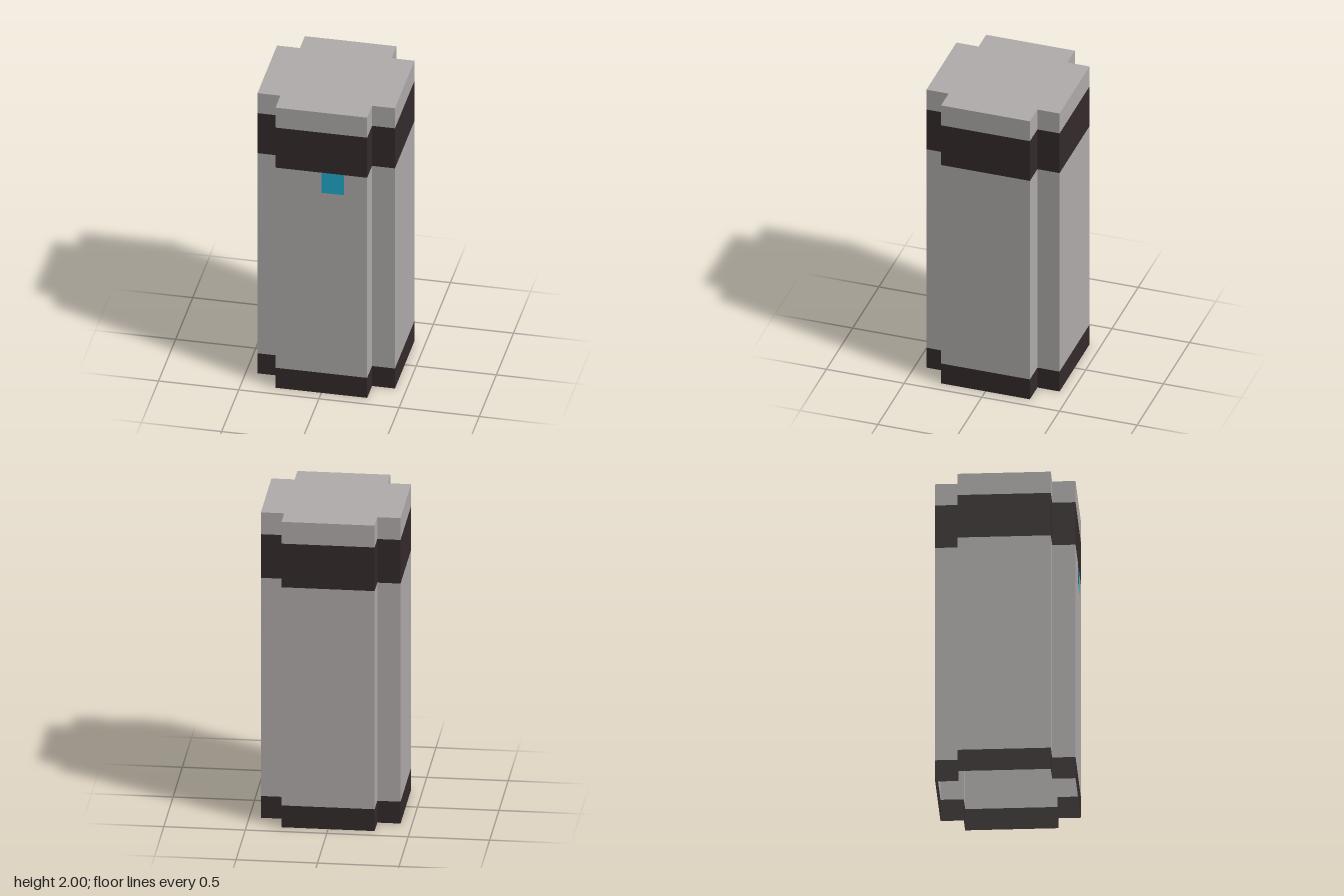
import * as THREE from 'three';

const U = 1 / 7; // one block of the design grid

// Cross-shaped plan, in blocks (x, z); the first wall is the front one
const PLAN = [
  [-2, 3], [2, 3], [2, 2], [3, 2], [3, -2], [2, -2],
  [2, -3], [-2, -3], [-2, -2], [-3, -2], [-3, 2], [-2, 2],
];

const material = (name, color) => {
  const m = new THREE.MeshStandardMaterial({ color, side: THREE.DoubleSide });
  m.name = name;
  return m;
};

// Thin walls following the plan between two heights
function wallBand(y0, y1, firstWall = 0) {
  const pos = [];
  for (let i = firstWall; i < PLAN.length; i++) {
    const [ax, az] = PLAN[i];
    const [bx, bz] = PLAN[(i + 1) % PLAN.length];
    pos.push(ax, y0, az, bx, y0, bz, bx, y1, bz);
    pos.push(ax, y0, az, bx, y1, bz, ax, y1, az);
  }
  const g = new THREE.BufferGeometry();
  g.setAttribute('position', new THREE.Float32BufferAttribute(pos, 3));
  g.scale(U, U, U);
  g.computeVertexNormals();
  return g;
}

const points = (list) => list.map(([x, y]) => new THREE.Vector2(x * U, y * U));
const rect = (x0, y0, x1, y1) => points([[x0, y0], [x1, y0], [x1, y1], [x0, y1]]);

export function createModel() {
  const group = new THREE.Group();
  group.name = 'column';
  const grey = material('lightGrey', 0xb1adac);
  const dark = material('darkBrown', 0x352b2c);
  const blue = material('lightBlue', 0x22aacb);

  const add = (name, geometry, mat) => {
    const mesh = new THREE.Mesh(geometry, mat);
    mesh.name = name;
    group.add(mesh);
    return mesh;
  };

  // Stacked bands of the hollow shell, open underneath
  add('baseBand', wallBand(0, 1), dark);
  add('bodyWalls', wallBand(1, 11, 1), grey);
  add('upperBand', wallBand(11, 13), dark);
  add('topRim', wallBand(13, 14), grey);

  // Front body wall with an opening filled by the indicator light
  const front = new THREE.Shape(rect(-2, 1, 2, 11));
  front.holes.push(new THREE.Path(rect(0, 10, 1, 10.999)));
  add('frontWall', new THREE.ShapeGeometry(front), grey).position.z = 3 * U;
  add('indicatorLight', new THREE.ShapeGeometry(new THREE.Shape(rect(0, 10, 1, 11))), blue)
    .position.z = 3 * U + 0.0005;

  // Closed top
  const lid = new THREE.ShapeGeometry(new THREE.Shape(points(PLAN)));
  lid.rotateX(-Math.PI / 2);
  add('lid', lid, grey).position.y = 14 * U;

  return group;
}
